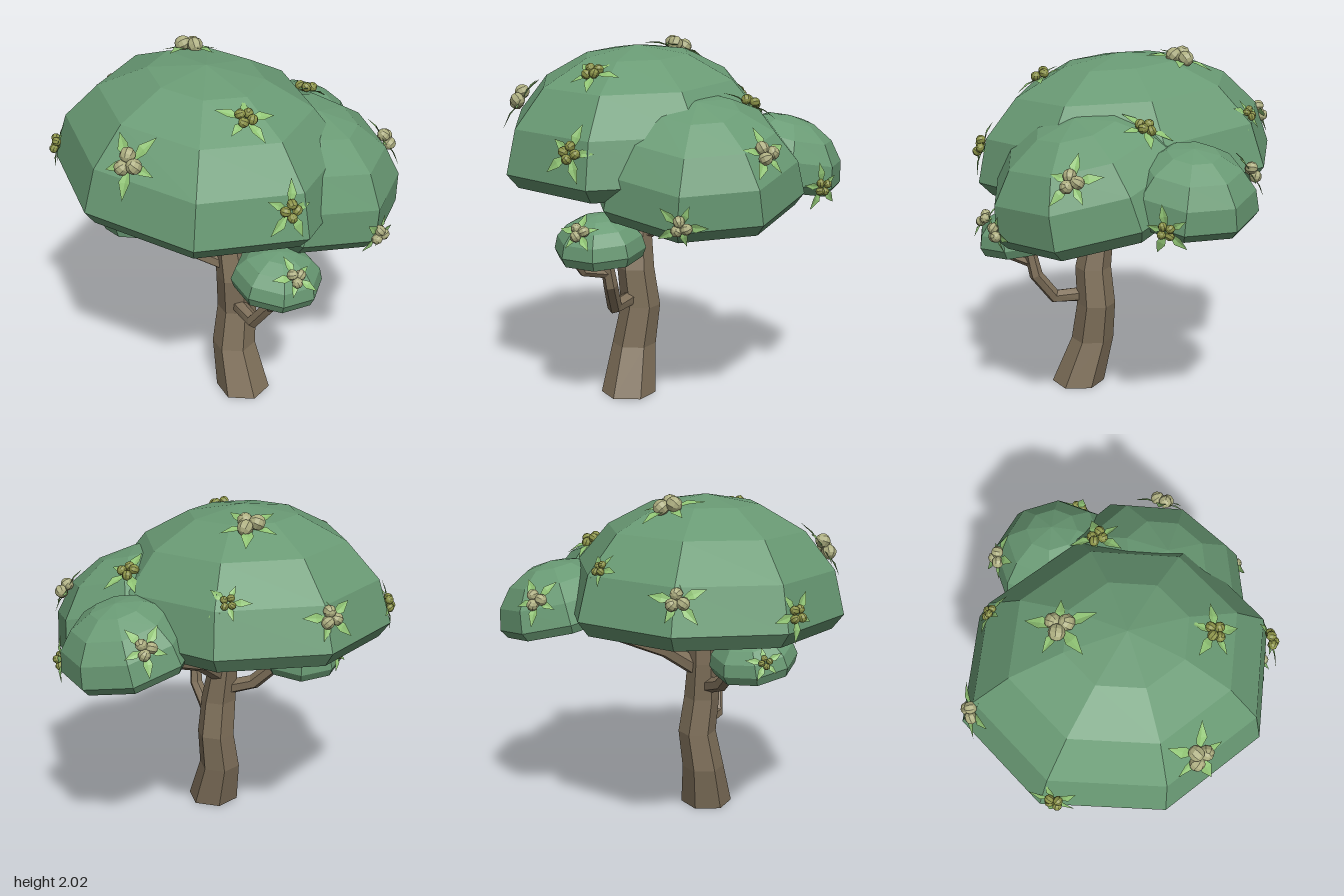
import * as THREE from 'three';

const mat = (color, extra = {}) =>
  new THREE.MeshStandardMaterial({ color, flatShading: true, ...extra });
const UP = new THREE.Vector3(0, 1, 0);

const bark = mat(0x80715b);
const foliage = mat(0x6a9b75);
const leafGreen = mat(0x90c474, { side: THREE.DoubleSide });
const paleFruit = mat(0xadae80);
const oliveFruit = mat(0x8c9448);

// Six-sided limb through points [x, y, z, radius]; upright keeps the rings level
function limb(points, upright = false, sides = 6) {
  const pos = [], index = [];
  const P = points.map(p => new THREE.Vector3(p[0], p[1], p[2]));
  P.forEach((p, j) => {
    const before = P[Math.max(j - 1, 0)], after = P[Math.min(j + 1, P.length - 1)];
    const dir = upright ? UP : after.clone().sub(before).normalize();
    const q = new THREE.Quaternion().setFromUnitVectors(UP, dir);
    for (let i = 0; i < sides; i++) {
      const a = (i / sides) * Math.PI * 2 + 0.26;
      const v = new THREE.Vector3(Math.cos(a), 0, Math.sin(a))
        .multiplyScalar(points[j][3]).applyQuaternion(q).add(p);
      pos.push(v.x, v.y, v.z);
    }
  });
  const last = (P.length - 1) * sides;
  for (let j = 0; j < last; j += sides) {
    for (let i = 0; i < sides; i++) {
      const a = j + i, b = j + (i + 1) % sides;
      index.push(b, a, a + sides, b, a + sides, b + sides);
    }
  }
  for (let i = 1; i < sides - 1; i++) {
    index.push(0, i, i + 1, last, last + i + 1, last + i);
  }
  const g = new THREE.BufferGeometry();
  g.setAttribute('position', new THREE.Float32BufferAttribute(pos, 3));
  g.setIndex(index);
  g.computeVertexNormals();
  return g;
}

// Unit dome: eight sides, rounded top, tucked-in rim of given depth, flat underside
function domeGeometry(rim) {
  const profile = [new THREE.Vector2(0, -rim), new THREE.Vector2(0.92, -rim)];
  for (let k = 0; k <= 4; k++) {
    const a = (k / 4) * Math.PI / 2;
    profile.push(new THREE.Vector2(k === 4 ? 0 : Math.cos(a), Math.sin(a)));
  }
  return new THREE.LatheGeometry(profile, 8);
}

// Canopy domes: centre, radii, tilt about x and z, turn of the eight sides, rim depth
const DOMES = {
  mainCanopy: { c: [-0.025, 1.335, 0.18], r: [0.89, 0.645, 0.797], tilt: [0, -0.075], turn: 0, rim: 0.13 },
  backLeftCanopy: { c: [0.29, 1.24, -0.25], r: [0.605, 0.485, 0.6], tilt: [-0.1, -0.27], turn: 0.14, rim: 0.16 },
  backRightCanopy: { c: [-0.125, 1.275, -0.615], r: [0.375, 0.32, 0.38], tilt: [-0.23, 0], turn: 0.39, rim: 0.16 },
  frontSmallCanopy: { c: [-0.15, 1.08, 0.49], r: [0.25, 0.18, 0.25], tilt: [-0.12, 0.17], turn: 0.2, rim: 0.3 },
  leftSmallCanopy: { c: [0.625, 0.92, 0.19], r: [0.255, 0.185, 0.25], tilt: [0, -0.13], turn: 0.2, rim: 0.28 },
};

// Fruit clusters: dome, position, size, pale or olive
const CLUSTERS = [
  ['mainCanopy', [-0.31, 1.97, 0.03], 1.2, true],
  ['mainCanopy', [0.46, 1.83, 0.28], 1, false],
  ['mainCanopy', [0.19, 1.65, 0.82], 1.15, true],
  ['mainCanopy', [-0.58, 1.47, 0.77], 0.9, false],
  ['mainCanopy', [-0.87, 1.58, 0.2], 0.95, true],
  ['mainCanopy', [0.81, 1.45, 0.28], 1, false],
  ['mainCanopy', [-0.62, 1.67, -0.28], 0.75, false],
  ['backLeftCanopy', [0.07, 1.69, -0.52], 1, false],
  ['backLeftCanopy', [0.54, 1.45, -0.7], 1, true],
  ['backLeftCanopy', [0.88, 1.11, -0.34], 0.85, true],
  ['backRightCanopy', [-0.43, 1.42, -0.67], 0.9, true],
  ['backRightCanopy', [0.11, 1.22, -0.93], 0.85, false],
  ['frontSmallCanopy', [-0.33, 1.12, 0.57], 0.65, false],
  ['leftSmallCanopy', [0.81, 1.02, 0.23], 0.8, true],
];

// Pointed leaf with a folded midrib, lying along +x
function leafGeometry() {
  const g = new THREE.BufferGeometry();
  g.setAttribute('position', new THREE.Float32BufferAttribute([
    0, 0.018, 0, 0.09, 0.03, 0.029, 0.09, 0.024, 0, 0.09, 0.03, -0.029, 0.17, 0.012, 0], 3));
  g.setIndex([0, 1, 2, 0, 2, 3, 1, 4, 2, 2, 4, 3]);
  g.computeVertexNormals();
  return g;
}

export function createModel() {
  const tree = new THREE.Group();
  tree.name = 'tree';
  const add = (parent, name, geometry, material) => {
    const m = new THREE.Mesh(geometry, material);
    m.name = name;
    parent.add(m);
    return m;
  };

  // Trunk
  add(tree, 'trunk', limb([
    [0.3, 0, 0.145, 0.155], [0.21, 0.27, 0.14, 0.125], [0.195, 0.5, 0.105, 0.113],
    [0.205, 0.72, 0.13, 0.106], [0.165, 0.95, 0.14, 0.088], [0.135, 1.3, 0.14, 0.072],
  ], true), bark);

  // Branches
  const branches = {
    leftBranch: [[0.24, 0.55, 0.14, 0.045], [0.43, 0.54, 0.18, 0.043],
      [0.545, 0.69, 0.16, 0.04], [0.59, 0.91, 0.18, 0.032]],
    leftTwig: [[0.56, 0.76, 0.165, 0.028], [0.67, 0.79, 0.27, 0.028], [0.74, 0.9, 0.32, 0.024]],
    frontBranch: [[0.21, 0.78, 0.13, 0.048], [0.04, 0.86, 0.28, 0.045], [-0.11, 1.04, 0.39, 0.04]],
    backBranch: [[0.17, 0.9, 0.12, 0.055], [0.07, 1.04, -0.06, 0.052], [-0.1, 1.21, -0.46, 0.045]],
    backTwig: [[0.08, 1.03, -0.04, 0.045], [0.03, 1.12, -0.1, 0.042], [0.02, 1.26, -0.13, 0.038]],
  };
  for (const [name, pts] of Object.entries(branches)) add(tree, name, limb(pts), bark);

  // Canopy
  for (const [name, d] of Object.entries(DOMES)) {
    const g = domeGeometry(d.rim).rotateY(d.turn).scale(...d.r);
    const m = add(tree, name, g, foliage);
    m.position.set(...d.c);
    m.rotation.set(d.tilt[0], 0, d.tilt[1]);
  }

  // Fruit clusters resting on the domes
  const leaf = leafGeometry();
  const berry = new THREE.SphereGeometry(0.03, 8, 6);
  CLUSTERS.forEach(([on, at, size, pale], n) => {
    const d = DOMES[on];
    const r = new THREE.Vector3(...d.r), c = new THREE.Vector3(...d.c);
    const q = new THREE.Quaternion().setFromEuler(new THREE.Euler(d.tilt[0], 0, d.tilt[1]));
    const unit = new THREE.Vector3(...at).sub(c)
      .applyQuaternion(q.clone().invert()).divide(r).normalize();
    const normal = unit.clone().divide(r).normalize().applyQuaternion(q);

    const cluster = new THREE.Group();
    cluster.name = 'fruitCluster' + (n + 1);
    cluster.position.copy(unit.multiply(r).multiplyScalar(0.955).applyQuaternion(q).add(c));
    cluster.quaternion.setFromUnitVectors(UP, normal);
    cluster.scale.setScalar(size);
    tree.add(cluster);

    for (let i = 0; i < 5; i++) {
      const l = add(cluster, 'leaf', leaf, leafGreen);
      l.rotation.y = (i / 5) * Math.PI * 2 + n * 1.3;
      l.scale.setScalar(i % 2 ? 0.8 : 1);
    }
    const count = pale ? 3 : 4;
    for (let i = 0; i < count; i++) {
      const a = (i / count) * Math.PI * 2 + n;
      const b = add(cluster, 'berry', berry, pale ? paleFruit : oliveFruit);
      b.position.set(Math.cos(a) * 0.036, 0.036 + 0.008 * (i % 2), Math.sin(a) * 0.036);
      b.rotation.set(a, 0, 0.5);
      b.scale.setScalar(pale ? 1.25 : 0.95);
    }
  });
  return tree;
}
